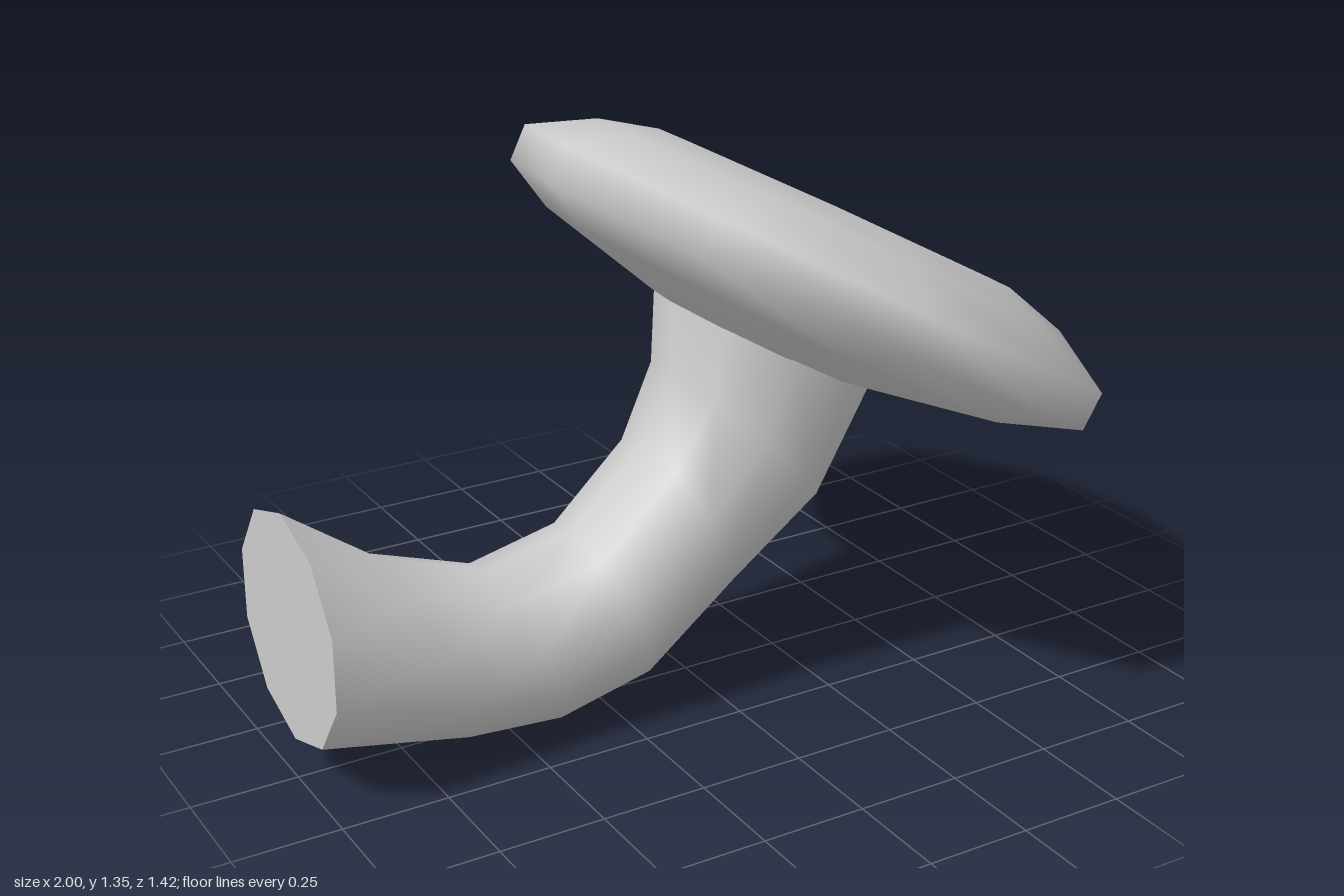
import * as THREE from 'three';
import { mergeVertices } from 'three/addons/utils/BufferGeometryUtils.js';

const SIDES = 10;

// One ten-sided ring spanning two opposite points [ax, ay, bx, by] in the z = 0 plane.
function ringPoints([ax, ay, bx, by]) {
  const cx = (ax + bx) / 2, cy = (ay + by) / 2;
  const ux = (ax - bx) / 2, uy = (ay - by) / 2;
  const r = Math.hypot(ux, uy);
  return Array.from({ length: SIDES }, (_, j) => {
    const a = (j / SIDES) * Math.PI * 2;
    return [cx + ux * Math.cos(a), cy + uy * Math.cos(a), r * Math.sin(a)];
  });
}

// Smooth skin through a list of rings.
function loft(rings) {
  const index = [];
  for (let i = 0; i < rings.length - 1; i++) {
    for (let j = 0; j < SIDES; j++) {
      const k = (j + 1) % SIDES;
      const a = i * SIDES + j, b = i * SIDES + k;
      index.push(a, b, a + SIDES, b, b + SIDES, a + SIDES);
    }
  }
  const geo = new THREE.BufferGeometry();
  geo.setAttribute('position', new THREE.Float32BufferAttribute(rings.flatMap(ringPoints).flat(), 3));
  geo.setIndex(index);
  const merged = mergeVertices(geo, 1e-4);
  merged.computeVertexNormals();
  return merged;
}

export function createModel() {
  const group = new THREE.Group();
  const material = new THREE.MeshStandardMaterial({ color: 0xcccccc });
  const add = (name, geometry) => {
    const mesh = new THREE.Mesh(geometry, material);
    mesh.name = name;
    group.add(mesh);
    return mesh;
  };

  // Curved stem, from the cut end up into the cap
  add('stem', loft([
    [-1, 0.645, -1, 0.1],
    [-0.77, 0.48, -0.63, 0.025],
    [-0.52, 0.395, -0.39, 0.003],
    [-0.3, 0.445, -0.155, 0.06],
    [-0.12, 0.615, 0.075, 0.242],
    [-0.04, 0.785, 0.305, 0.425],
    [-0.035, 0.945, 0.44, 0.67],
    [-0.01, 0.99, 0.465, 0.715],
  ]));

  // Flat cut face of the stem
  const end = add('stemEnd', new THREE.CircleGeometry(0.2725, SIDES, Math.PI / 2));
  end.rotation.y = -Math.PI / 2;
  end.position.set(-1, 0.3725, 0);

  // Tilted cap, from the middle of the underside over the rim to the top
  add('cap', loft([
    [0.2, 0.83, 0.2, 0.83],
    [-0.04, 0.95, 0.4, 0.695],
    [-0.27, 1.16, 0.74, 0.575],
    [-0.34, 1.27, 0.95, 0.535],
    [-0.3, 1.35, 1, 0.62],
    [-0.13, 1.35, 0.91, 0.775],
    [0.01, 1.315, 0.8, 0.885],
    [0.407, 1.105, 0.407, 1.105],
  ]));

  return group;
}
